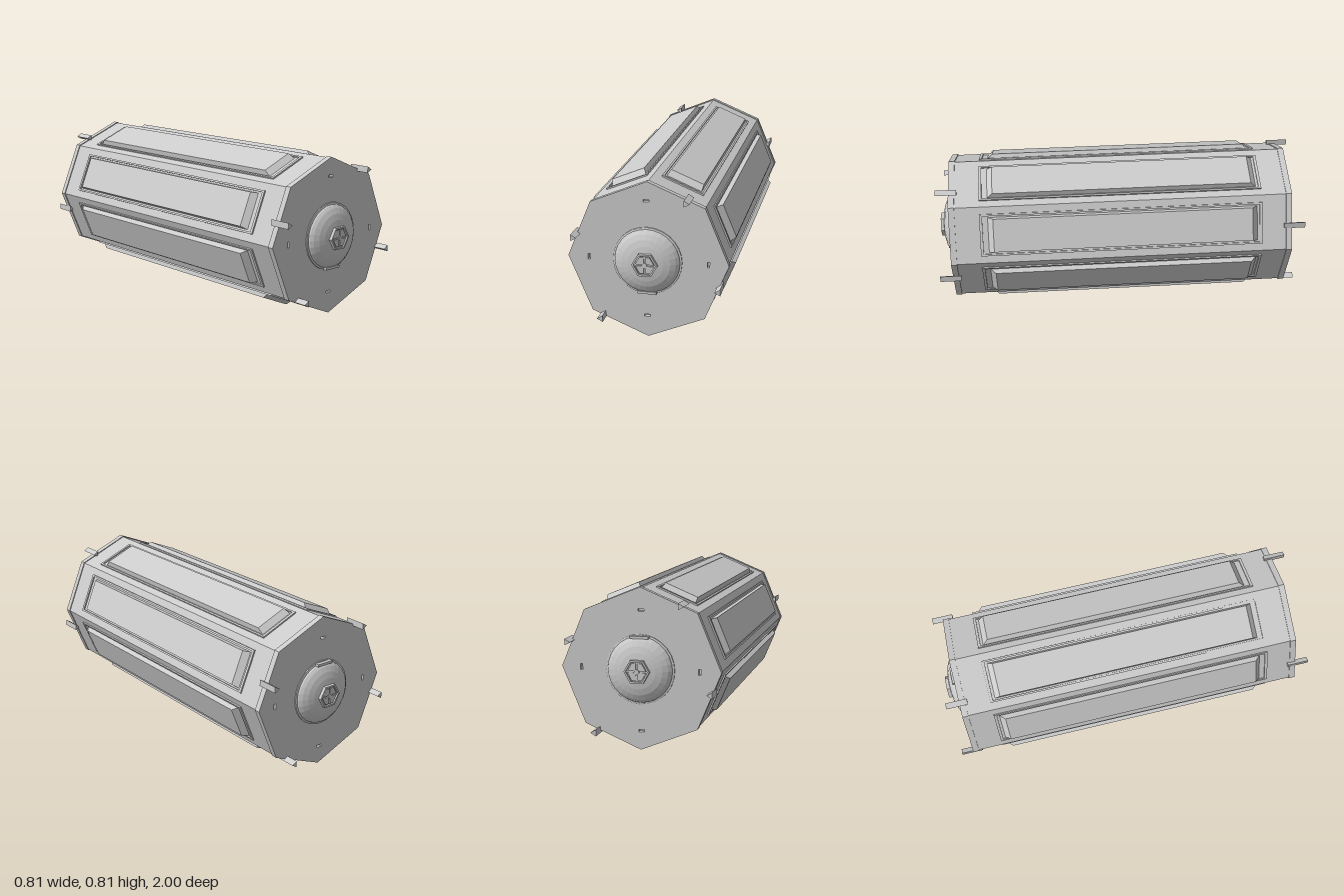
import * as THREE from 'three';

const R = 0.407, CY = 0.408;
const mat = new THREE.MeshStandardMaterial({ color: 0xcccccc, flatShading: true });

function add(parent, name, geo, x = 0, y = 0, z = 0) {
  const mesh = new THREE.Mesh(geo, mat);
  mesh.name = name;
  mesh.position.set(x, y, z);
  parent.add(mesh);
  return mesh;
}

const ring = (n, r, start = 0) => Array.from({ length: n }, (_, i) => {
  const a = start + (i / n) * Math.PI * 2;
  return new THREE.Vector2(r * Math.cos(a), r * Math.sin(a));
});
const rect = (hw, hh, x = 0, y = 0) => [[-1, -1], [1, -1], [1, 1], [-1, 1]]
  .map(([a, b]) => new THREE.Vector2(x + a * hw, y + b * hh));

function extrude(points, depth, holes = []) {
  const shape = new THREE.Shape(points);
  holes.forEach(h => shape.holes.push(new THREE.Path(h)));
  return new THREE.ExtrudeGeometry(shape, { depth, bevelEnabled: false });
}

// Raised panel whose outer face (+x) is smaller than its base
function panelGeometry(x0, x1) {
  const g = new THREE.BoxGeometry(1, 1, 1);
  const p = g.attributes.position;
  for (let i = 0; i < p.count; i++) {
    const outer = p.getX(i) > 0;
    p.setXYZ(i, outer ? x1 : x0,
      Math.sign(p.getY(i)) * (outer ? 0.09 : 0.097),
      Math.sign(p.getZ(i)) * (outer ? 0.70 : 0.735));
  }
  g.computeVertexNormals();
  return g;
}

// One side: thin frame with a raised panel in its middle
function buildSide() {
  const side = new THREE.Group();
  side.name = 'sidePanel';
  const frame = extrude(rect(0.765, 0.114), 0.012, [rect(0.75, 0.104)]);
  frame.rotateY(Math.PI / 2);
  add(side, 'panelFrame', frame, 0.367);
  add(side, 'raisedPanel', panelGeometry(0.365, 0.400), 0, 0, -0.008);
  return side;
}

// One end, facing +z; prongs are [x, y, turn in degrees]
function buildEnd(name, prongs) {
  const end = new THREE.Group();
  end.name = name;

  // Eight-sided plate with four small slots
  const slots = [
    rect(0.015, 0.006, -0.004, 0.31), rect(0.015, 0.006, -0.004, -0.294),
    rect(0.006, 0.015, 0.305, 0), rect(0.006, 0.015, -0.299, 0)];
  add(end, 'endPlate', extrude(ring(8, R), 0.032, slots), 0, 0, 0.896);

  // Shallow dome on a flat rim
  const profile = [[0.175, 0], [0.175, 0.006], [0.165, 0.008], [0.162, 0.016], [0.148, 0.028],
    [0.122, 0.041], [0.09, 0.05], [0.05, 0.056], [0, 0.058]];
  const dome = new THREE.LatheGeometry(profile.map(([r, h]) => new THREE.Vector2(r, h)), 28);
  dome.rotateX(Math.PI / 2);
  add(end, 'dome', dome, 0, 0, 0.928);
  add(end, 'domeTab', new THREE.BoxGeometry(0.096, 0.013, 0.026), 0, -0.162, 0.941);

  // Six-sided fitting: rim, recessed floor, hub and four quarter pads
  const hub = new THREE.Group();
  hub.name = 'hexFitting';
  hub.position.z = 0.97;
  end.add(hub);
  add(hub, 'hexRim', extrude(ring(6, 0.065), 0.03, [ring(6, 0.055)]));
  add(hub, 'hexFloor', extrude(ring(6, 0.058), 0.02));
  for (const sx of [1, -1]) for (const sy of [1, -1]) {
    const pts = [[0.004, 0.004], [0.047, 0.004], [0.025, 0.042], [0.004, 0.042]]
      .map(([x, y]) => new THREE.Vector2(x * sx, y * sy));
    add(hub, 'hexPad', extrude(pts, 0.026));
  }
  const pin = new THREE.CylinderGeometry(0.013, 0.013, 0.03, 12);
  pin.rotateX(Math.PI / 2);
  add(hub, 'hubPin', pin, 0, 0, 0.015);

  // Triangular prongs on the plate edge
  for (const [x, y, turn] of prongs) {
    add(end, 'prong', extrude(ring(3, 0.019, turn * Math.PI / 180), 0.115), x, y, 0.883);
  }
  return end;
}

export function createModel() {
  const model = new THREE.Group();
  model.name = 'octagonalContainer';
  const core = new THREE.Group();
  core.name = 'container';
  core.position.y = CY;
  model.add(core);

  // Eight-sided body
  const body = new THREE.CylinderGeometry(0.402, 0.402, 1.81, 8);
  body.rotateX(Math.PI / 2);
  add(core, 'body', body);

  for (let i = 0; i < 8; i++) {
    const side = buildSide();
    side.rotation.z = (i + 0.5) * Math.PI / 4;
    core.add(side);
  }

  core.add(buildEnd('frontEnd', [
    [0.205, 0.328, -2], [0.366, -0.113, 182], [-0.228, -0.303, 182], [-0.362, 0.117, 0]]));

  // The back end is turned about x, so its y runs downward
  const back = buildEnd('backEnd', [
    [0.221, 0.318, 0], [0.358, -0.132, 180], [-0.218, -0.327, 180], [-0.366, 0.098, 0]]);
  back.rotation.x = Math.PI;
  core.add(back);

  return model;
}
